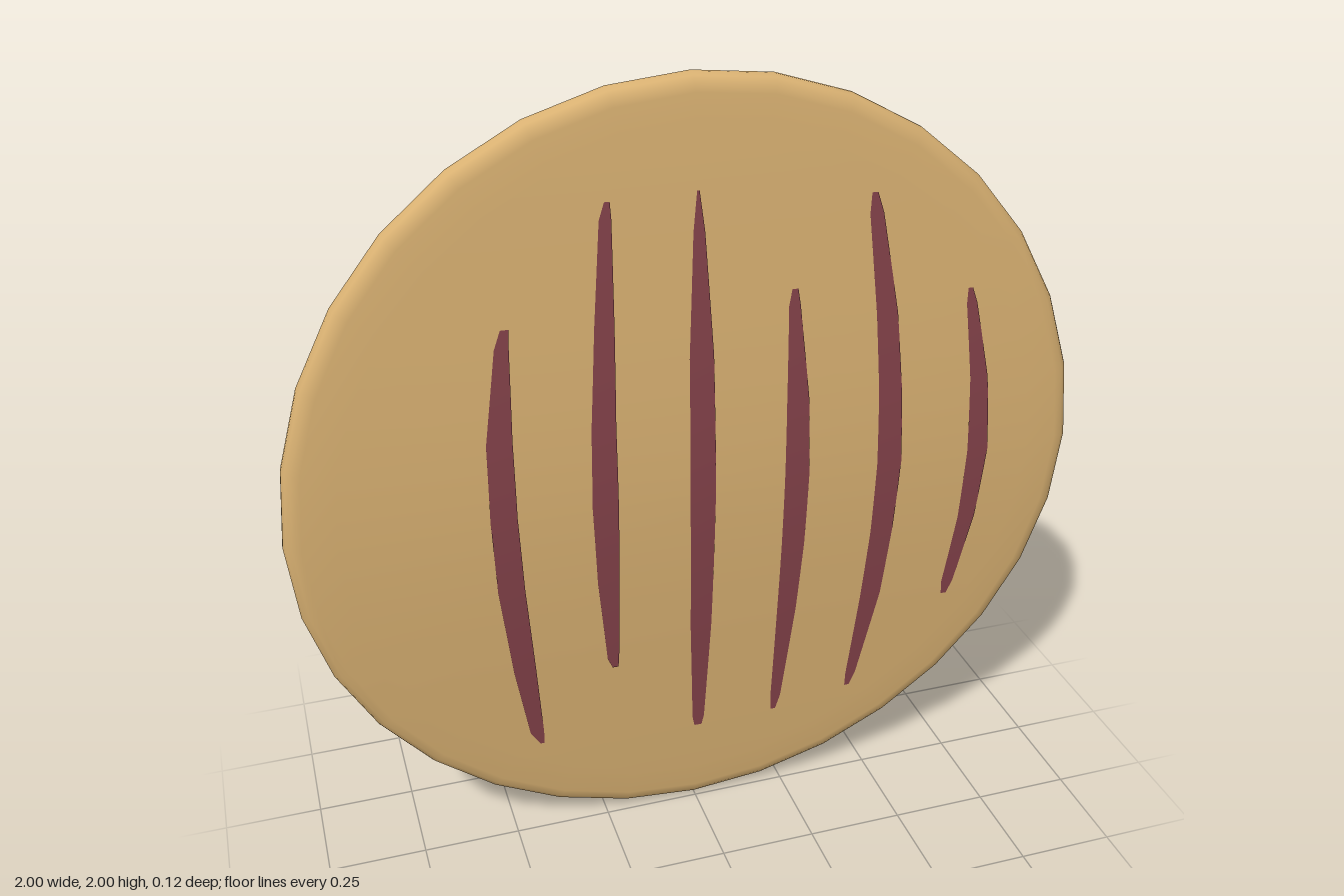
import * as THREE from 'three';
import { mergeVertices } from 'three/addons/utils/BufferGeometryUtils.js';

const SEGMENTS = 32;
const HALF = 0.031;

// Forward offset of the gentle fold across the horizontal middle line
const bend = (y) => 0.031 - 0.087 * (Math.hypot(0.35, y) - 0.35);

// Round plate with a soft rim, bent back at top and bottom
function plateGeometry() {
  const radii = [];
  for (let i = 0; i <= 12; i++) radii.push((i / 12) * 0.96);
  const front = radii.map((r) => [r, HALF]);
  front.push([0.981, 0.027], [0.994, 0.018], [1, 0.006]);
  const profile = [
    ...front.map(([r, z]) => new THREE.Vector2(r, -z)),
    ...front.reverse().map(([r, z]) => new THREE.Vector2(r, z)),
  ];
  let geo = new THREE.LatheGeometry(profile, SEGMENTS);
  geo.rotateX(Math.PI / 2);
  const p = geo.attributes.position;
  for (let i = 0; i < p.count; i++) p.setZ(i, p.getZ(i) + bend(p.getY(i)));
  geo.deleteAttribute('normal');
  geo.deleteAttribute('uv');
  geo = mergeVertices(geo, 1e-5);
  geo.computeVertexNormals();
  return geo;
}

// Thin painted stripe lying on the bent front; rows are [height, left x, right x] from bottom to top
function stripeGeometry(rows) {
  const pos = [];
  const index = [];
  const STEPS = 5;
  rows.forEach((row, i) => {
    const next = rows[i + 1];
    for (let s = 0; s < (next ? STEPS : 1); s++) {
      const [y, a, b] = row.map((v, k) => (next ? v + ((next[k] - v) * s) / STEPS : v));
      const z = bend(y - 1) + HALF + 0.003;
      pos.push(a, y - 1, z, b, y - 1, z);
    }
  });
  for (let i = 0; i < pos.length / 3 - 2; i += 2) index.push(i, i + 1, i + 3, i, i + 3, i + 2);
  const geo = new THREE.BufferGeometry();
  geo.setAttribute('position', new THREE.Float32BufferAttribute(pos, 3));
  geo.setIndex(index);
  geo.computeVertexNormals();
  return geo;
}

const STRIPES = [
  [[0.3, -0.43, -0.42], [0.34, -0.455, -0.42], [0.55, -0.49, -0.434], [0.8, -0.518, -0.452],
    [1, -0.525, -0.46], [1.2, -0.522, -0.46], [1.43, -0.487, -0.453], [1.475, -0.47, -0.45]],
  [[0.51, -0.235, -0.22], [0.54, -0.248, -0.218], [0.78, -0.27, -0.215], [1, -0.278, -0.213],
    [1.2, -0.273, -0.213], [1.45, -0.255, -0.207], [1.7, -0.232, -0.203], [1.74, -0.218, -0.205]],
  [[0.26, -0.01, 0.01], [0.29, -0.016, 0.016], [0.6, -0.028, 0.028], [1, -0.033, 0.033],
    [1.35, -0.03, 0.03], [1.65, -0.014, 0.014], [1.745, -0.003, 0.003]],
  [[0.265, 0.207, 0.22], [0.31, 0.204, 0.232], [0.6, 0.208, 0.26], [0.8, 0.211, 0.272],
    [1, 0.213, 0.277], [1.2, 0.214, 0.272], [1.45, 0.217, 0.246], [1.49, 0.225, 0.24]],
  [[0.3, 0.42, 0.433], [0.34, 0.42, 0.448], [0.6, 0.442, 0.498], [0.8, 0.455, 0.516], [1, 0.46, 0.526],
    [1.2, 0.455, 0.516], [1.4, 0.442, 0.497], [1.65, 0.418, 0.453], [1.7, 0.422, 0.437]],
  [[0.56, 0.68, 0.695], [0.6, 0.677, 0.71], [0.8, 0.702, 0.75], [1, 0.71, 0.767],
    [1.2, 0.702, 0.75], [1.4, 0.68, 0.708], [1.44, 0.682, 0.694]],
];

export function createModel() {
  const tan = new THREE.MeshStandardMaterial({ color: 0xd9b172 });
  tan.name = 'tan';
  const maroon = new THREE.MeshStandardMaterial({ color: 0x84424a });
  maroon.name = 'maroon';

  const model = new THREE.Group();
  model.name = 'stripedDisc';

  const plate = new THREE.Mesh(plateGeometry(), tan);
  plate.name = 'plate';
  plate.position.y = 1;
  model.add(plate);

  STRIPES.forEach((rows, i) => {
    const stripe = new THREE.Mesh(stripeGeometry(rows), maroon);
    stripe.name = `stripe${i + 1}`;
    stripe.position.y = 1;
    model.add(stripe);
  });
  return model;
}
